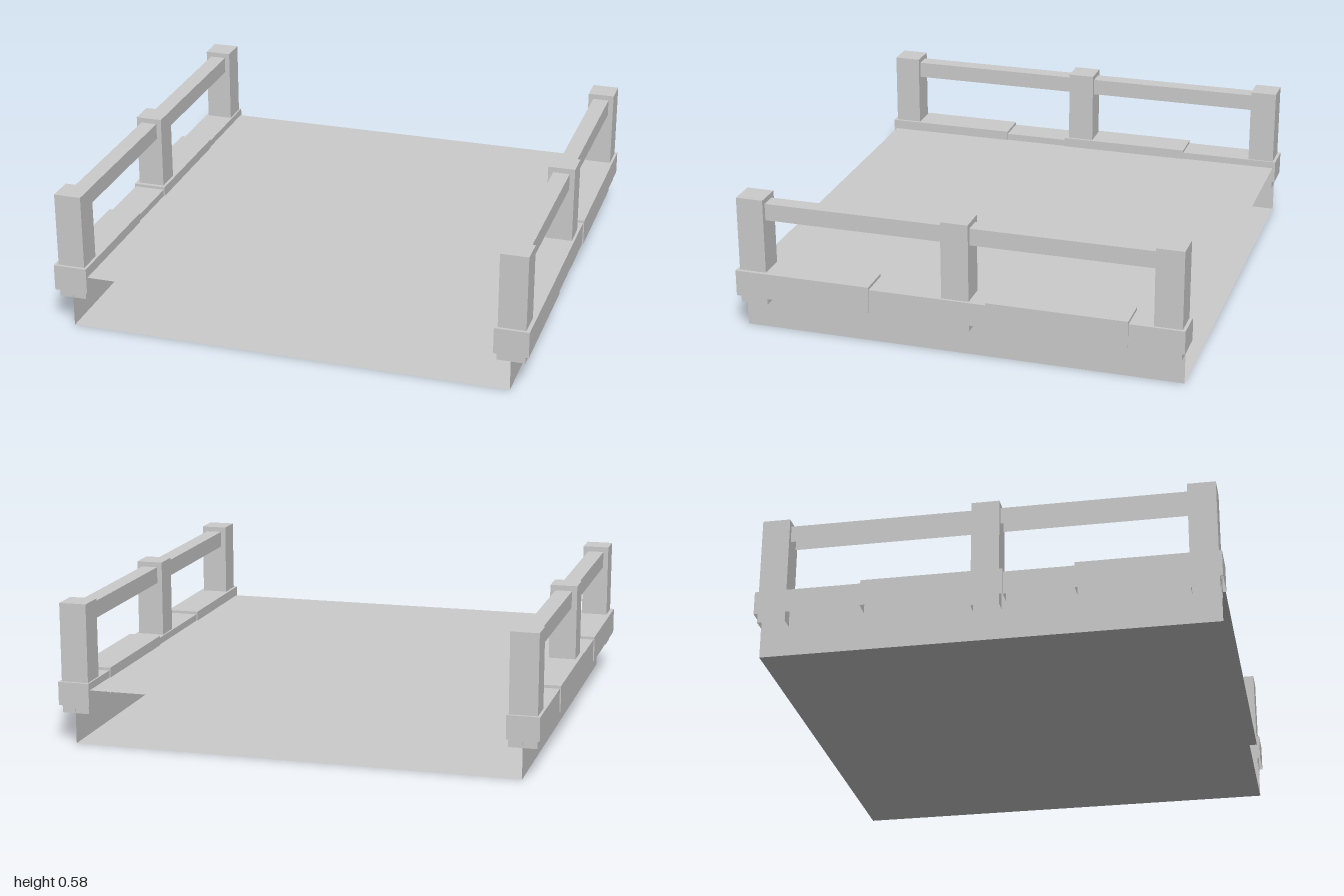
import * as THREE from 'three';

const material = new THREE.MeshStandardMaterial({ color: 0xcccccc, flatShading: true, side: THREE.DoubleSide });

// Box given by its limits, leaving out the listed faces (0 +x, 1 -x, 2 +y, 3 -y, 4 +z, 5 -z)
function openBox(name, [x0, x1], [y0, y1], [z0, z1], omit) {
  const geo = new THREE.BoxGeometry(x1 - x0, y1 - y0, z1 - z0);
  const index = Array.from(geo.index.array);
  geo.setIndex(index.filter((_, i) => !omit.includes(Math.floor(i / 6))));
  geo.clearGroups();
  geo.translate((x0 + x1) / 2, (y0 + y1) / 2, (z0 + z1) / 2);
  const mesh = new THREE.Mesh(geo, material);
  mesh.name = name;
  return mesh;
}

const around = (centre, width) => [centre - width / 2, centre + width / 2];

// One side of the bridge: kerb beams, posts and handrails
function createRailing(side, middleBeam) {
  const group = new THREE.Group();
  group.name = side > 0 ? 'leftRailing' : 'rightRailing';
  const x = side * 0.927;
  const bottom = [3];

  // Kerb: alternating slim and thick beams, open underneath
  const [m0, m1] = middleBeam;
  const beams = [
    [-0.935, m0, false], [m0, m1, true], [m1, 0.36, false], [0.36, 0.935, true],
  ];
  for (const [z0, z1, thick] of beams) {
    group.add(openBox('kerbBeam', around(x, thick ? 0.142 : 0.132),
      [0.16, thick ? 0.27 : 0.258], [z0, z1], bottom));
  }

  // Posts
  for (const z of [-0.865, 0, 0.865]) {
    group.add(openBox('post', around(side * 0.925, 0.114), [0.127, 0.585], around(z, 0.114), bottom));
  }

  // Handrails between the posts
  for (const s of [-1, 1]) {
    group.add(openBox('handrail', around(side * 0.925, 0.07), [0.492, 0.563],
      around(s * 0.4325, 0.751), bottom));
  }
  return group;
}

export function createModel() {
  const model = new THREE.Group();
  model.name = 'bridgeSection';

  // Hollow deck, open at the front and back
  model.add(openBox('deck', [-0.925, 0.925], [0, 0.228], [-0.923, 0.923], [4, 5]));

  model.add(createRailing(1, [-0.71, -0.13]));
  model.add(createRailing(-1, [-0.5, 0.075]));
  return model;
}
